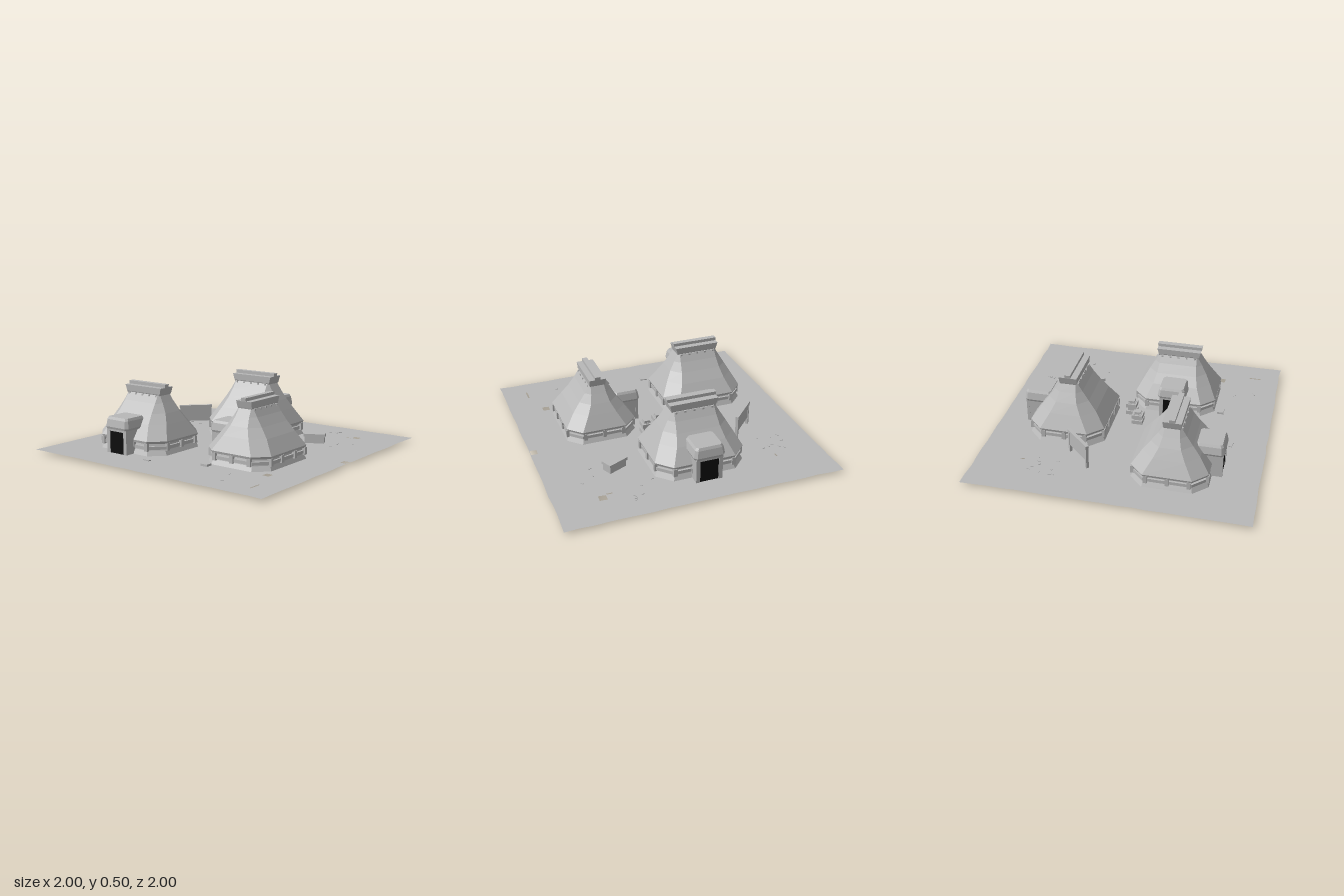
import * as THREE from 'three';

const plaster = new THREE.MeshStandardMaterial({ color: 0xb8b8b8, flatShading: true, side: THREE.DoubleSide });
plaster.name = 'greyPlaster';
const earth = new THREE.MeshStandardMaterial({ color: 0x8a6e57, side: THREE.DoubleSide });
earth.name = 'brownEarth';
const dark = new THREE.MeshStandardMaterial({ color: 0x0c0c0c });
dark.name = 'darkOpening';

let seed = 7;
const rand = () => (seed = (seed * 16807) % 2147483647) / 2147483647;

function add(parent, name, geometry, material, x = 0, y = 0, z = 0, turn = 0) {
  const mesh = new THREE.Mesh(geometry, material);
  mesh.name = name;
  mesh.position.set(x, y, z);
  mesh.rotation.y = turn;
  parent.add(mesh);
  return mesh;
}

const box = (w, h, d) => new THREE.BoxGeometry(w, h, d);

// Stacked chamfered rectangles; each ring is [y, halfX, halfZ, chamfer]
function loft(rings) {
  const pos = [];
  const loops = rings.map(([y, x, z, c]) => [
    [x, y, z - c], [x, y, c - z], [x - c, y, -z], [c - x, y, -z],
    [-x, y, c - z], [-x, y, z - c], [c - x, y, z], [x - c, y, z]]);
  const tri = (...p) => p.forEach((v) => pos.push(...v));
  for (let k = 0; k < loops.length - 1; k++) {
    for (let i = 0; i < 8; i++) {
      const j = (i + 1) % 8, lo = loops[k], hi = loops[k + 1];
      tri(lo[i], lo[j], hi[j]);
      tri(lo[i], hi[j], hi[i]);
    }
  }
  const bottom = loops[0], top = loops[loops.length - 1];
  for (let i = 1; i < 7; i++) {
    tri(top[0], top[i], top[i + 1]);
    tri(bottom[0], bottom[i + 1], bottom[i]);
  }
  const g = new THREE.BufferGeometry();
  g.setAttribute('position', new THREE.Float32BufferAttribute(pos, 3));
  g.computeVertexNormals();
  return g;
}

// Flat polygon lying on the ground, given as [x, z] points
function flat(points, holes = []) {
  const toV = ([x, z]) => new THREE.Vector2(x, -z);
  const shape = new THREE.Shape(points.map(toV));
  holes.forEach((h) => shape.holes.push(new THREE.Path(h.map(toV))));
  return new THREE.ShapeGeometry(shape).rotateX(-Math.PI / 2);
}

function makeHut() {
  const hut = new THREE.Group();
  hut.name = 'hut';

  // Flared wall, rail and swept roof
  add(hut, 'wall', loft([[0.01, 0.325, 0.277, 0.1], [0.055, 0.3, 0.255, 0.09], [0.112, 0.285, 0.24, 0.085]]), plaster);
  add(hut, 'wallRail', loft([[0.062, 0.308, 0.262, 0.093], [0.085, 0.308, 0.262, 0.093]]), plaster);
  add(hut, 'roof', loft([
    [0.105, 0.315, 0.266, 0.1], [0.122, 0.32, 0.27, 0.1], [0.225, 0.265, 0.2, 0.09],
    [0.295, 0.226, 0.145, 0.07], [0.36, 0.187, 0.098, 0.04], [0.415, 0.155, 0.064, 0.012]]), plaster);

  // Rail brackets on all sides
  for (const s of [-1, 1]) {
    for (const x of [-0.21, -0.08, 0.08, 0.21]) {
      add(hut, 'railBracket', box(0.028, 0.055, 0.022), plaster, x, 0.08, s * 0.262);
    }
    for (const z of [-0.15, 0, 0.15]) {
      add(hut, 'railBracket', box(0.022, 0.055, 0.028), plaster, s * 0.308, 0.08, z);
    }
  }

  // Flared ridge with a capping beam and rafter ends
  add(hut, 'ridge', loft([[0.405, 0.155, 0.055, 0], [0.42, 0.16, 0.062, 0], [0.467, 0.173, 0.065, 0]]), plaster);
  add(hut, 'ridgeBeam', loft([[0.465, 0.174, 0.02, 0], [0.49, 0.177, 0.02, 0]]), plaster);
  for (const s of [-1, 1]) {
    for (let i = 0; i < 5; i++) {
      add(hut, 'rafterEnd', box(0.014, 0.014, 0.02), plaster, -0.13 + i * 0.065, 0.408, s * 0.062);
    }
  }

  // Porch with hooded canopy and dark doorway
  add(hut, 'porch', box(0.185, 0.2, 0.19), plaster, 0, 0.108, 0.238);
  for (const s of [-1, 1]) {
    add(hut, 'doorJamb', box(0.028, 0.205, 0.02), plaster, s * 0.08, 0.1025, 0.334);
  }
  add(hut, 'doorLintel', box(0.188, 0.025, 0.02), plaster, 0, 0.192, 0.334);
  add(hut, 'doorOpening', box(0.132, 0.17, 0.006), dark, 0, 0.095, 0.336);
  add(hut, 'porchCanopy', loft([[0.195, 0.104, 0.1, 0.018], [0.21, 0.11, 0.105, 0.02],
    [0.262, 0.1, 0.095, 0.016], [0.28, 0.09, 0.086, 0.014]]), plaster, 0, 0, 0.248);
  return hut;
}

export function createModel() {
  const model = new THREE.Group();
  model.name = 'hutVillage';

  // Ragged ground sheet with broken patches
  const edge = [];
  for (let side = 0; side < 4; side++) {
    for (let i = 0; i < 20; i++) {
      const t = -1 + i / 10, r = i === 0 ? 1 : 1 - rand() * 0.009;
      edge.push([[t, -r], [r, t], [-t, r], [-r, -t]][side]);
    }
  }
  const patch = (x, z, w, d) => [[x - w, z - d], [x + w, z - d * 0.9], [x + w * 0.9, z + d], [x - w, z + d * 0.8]];
  const holes = [patch(0.665, -0.735, 0.028, 0.028), patch(0.965, -0.035, 0.025, 0.03), patch(0.73, 0.55, 0.026, 0.028),
    patch(0.815, 0.81, 0.006, 0.052), patch(0.61, -0.703, 0.022, 0.006), patch(-0.645, -0.67, 0.005, 0.018)];
  add(model, 'ground', flat(edge, holes), plaster, 0, 0.02, 0);

  // Earth bed under the yard
  add(model, 'yardEarth', flat([[0.82, 0.1], [0.77, -0.32], [0.55, -0.47], [0.25, -0.62], [-0.05, -0.72], [-0.37, -0.77],
    [-0.65, -0.64], [-0.7, -0.21], [-0.79, 0.01], [-0.77, 0.2], [-0.66, 0.6], [-0.43, 0.77],
    [-0.06, 0.77], [0.16, 0.67], [0.5, 0.55], [0.68, 0.4]]), earth, 0, 0.015, 0);

  // Three huts facing different ways
  for (const [x, z, turn, scale] of [[-0.443, 0.39, 0, 1], [-0.073, -0.442, Math.PI, 1.03], [0.436, 0.248, -Math.PI / 2, 0.965]]) {
    const hut = makeHut();
    hut.position.set(x, 0, z);
    hut.rotation.y = turn;
    hut.scale.setScalar(scale);
    model.add(hut);
  }

  // Square yard stands with an inset top
  for (const [x, z, h] of [[-0.003, 0.018, 0.1], [0.115, -0.055, 0.115]]) {
    const stand = new THREE.Group();
    stand.name = 'yardStand';
    stand.position.set(x, 0, z);
    add(stand, 'standBase', box(0.056, h, 0.056), plaster, 0, h / 2, 0);
    add(stand, 'standRim', box(0.08, 0.03, 0.08), plaster, 0, h - 0.02, 0);
    add(stand, 'standFoot', box(0.08, 0.05, 0.08), plaster, 0, 0.025, 0);
    add(stand, 'standTop', box(0.046, 0.016, 0.046), plaster, 0, h + 0.008, 0);
    model.add(stand);
  }

  // Low chest
  const chest = new THREE.Group();
  chest.name = 'chest';
  chest.position.set(0.482, 0, -0.423);
  chest.rotation.y = 0.43;
  add(chest, 'chestBody', box(0.145, 0.075, 0.075), plaster, 0, 0.0475, 0);
  add(chest, 'chestLid', box(0.16, 0.022, 0.09), plaster, 0, 0.08, 0);
  model.add(chest);

  // Standing panel on two posts
  const screen = new THREE.Group();
  screen.name = 'screen';
  screen.position.set(-0.558, 0, -0.283);
  screen.rotation.y = 0.8;
  add(screen, 'screenPanel', box(0.25, 0.115, 0.012), plaster, 0, 0.135, 0);
  add(screen, 'screenRail', box(0.262, 0.018, 0.024), plaster, 0, 0.197, 0);
  for (const s of [-1, 1]) add(screen, 'screenPost', box(0.018, 0.2, 0.02), plaster, s * 0.118, 0.1, 0);
  model.add(screen);

  // Small blocks and scattered stones
  add(model, 'block', box(0.055, 0.03, 0.05), plaster, 0.265, 0.02, 0.605);
  add(model, 'block', box(0.055, 0.022, 0.025), plaster, -0.145, 0.016, 0.742, -0.1);
  for (const [cx, cz, n] of [[-0.7, -0.5, 10], [0.38, -0.73, 6], [0.71, -0.48, 3], [0.52, 0.78, 2], [-0.53, 0.78, 1]]) {
    for (let i = 0; i < n; i++) {
      const x = cx + (rand() - 0.5) * 0.2, z = cz + (rand() - 0.5) * 0.22;
      add(model, 'stone', box(0.008, 0.012, 0.022), plaster, x, 0.018, z, rand() * 3);
    }
  }
  return model;
}
